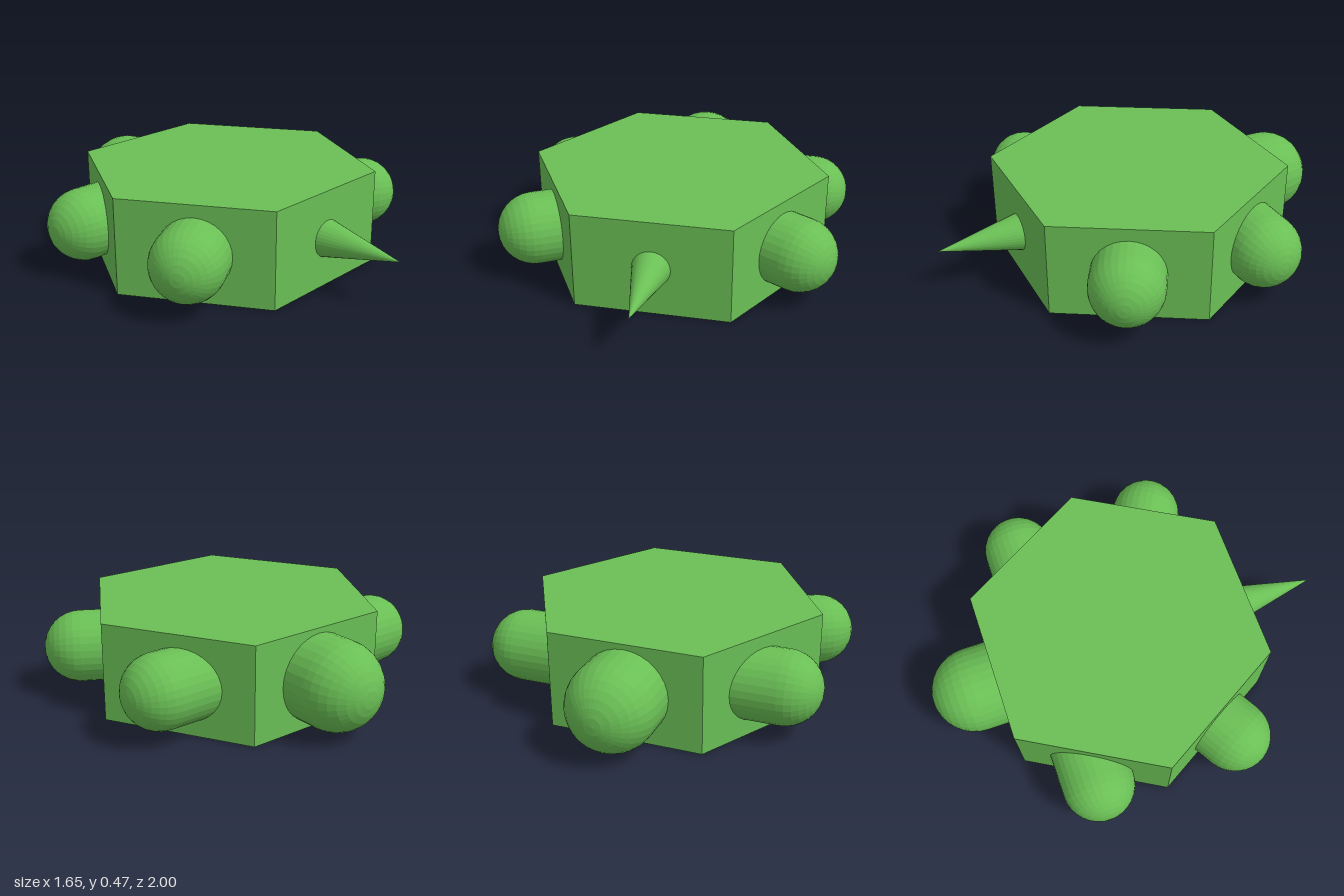
import * as THREE from 'three';

const MID_Y = 0.235;

export function createModel() {
  const group = new THREE.Group();
  const material = new THREE.MeshStandardMaterial({ color: 0x6abf55, flatShading: true });

  const add = (name, geometry, x, z) => {
    const mesh = new THREE.Mesh(geometry, material);
    mesh.name = name;
    mesh.position.set(x, MID_Y, z);
    group.add(mesh);
    return mesh;
  };

  // Round-ended limb: (x, z) is the centre of its outer dome, angle is its
  // outward heading measured from +x towards +z
  const addLimb = (name, radius, x, z, angle) => {
    const length = 0.3;
    const geometry = new THREE.CapsuleGeometry(radius, length, 8, 32);
    geometry.translate(0, -length / 2, 0).rotateZ(-Math.PI / 2).rotateY(-angle);
    add(name, geometry, x, z);
  };

  // Hexagonal shell with corners on the left and right
  const shell = new THREE.CylinderGeometry(0.735, 0.735, 2 * MID_Y, 6);
  add('shell', shell.rotateY(Math.PI / 2), 0, -0.035);

  // Head
  addLimb('head', 0.21, 0, -0.79, -Math.PI / 2);

  // Mirrored pairs of legs
  for (const [side, s] of [['left', 1], ['right', -1]]) {
    const heading = (a) => (s > 0 ? a : Math.PI - a);
    addLimb(`${side}HeadEndLeg`, 0.175, s * 0.65, -0.365, heading(0));
    addLimb(`${side}TailEndLeg`, 0.175, s * 0.64, 0.335, heading(Math.PI / 6));
  }

  // Pointed tail
  const tail = new THREE.ConeGeometry(0.09, 0.4, 32);
  add('tail', tail.rotateX(Math.PI / 2), 0, 0.8);

  return group;
}
